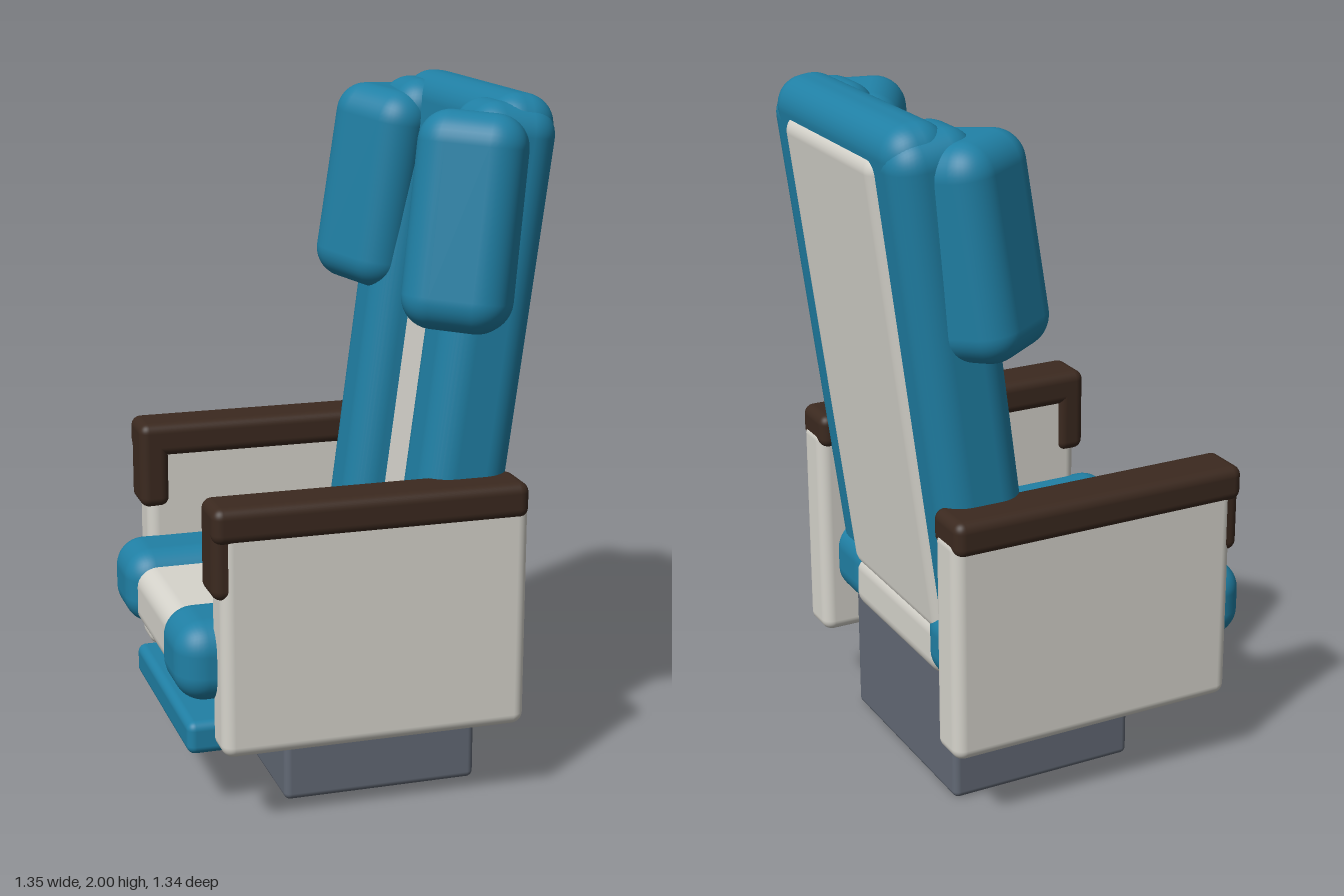
import * as THREE from 'three';
import { RoundedBoxGeometry } from 'three/addons/geometries/RoundedBoxGeometry.js';

const material = (name, color) => {
  const m = new THREE.MeshStandardMaterial({ color });
  m.name = name;
  return m;
};

// Rounded box given by its ranges along x, y and z
function pad(parent, name, mat, [x0, x1], [y0, y1], [z0, z1], radius) {
  const geo = new RoundedBoxGeometry(x1 - x0, y1 - y0, z1 - z0, 5, radius);
  const mesh = new THREE.Mesh(geo, mat);
  mesh.name = name;
  mesh.position.set((x0 + x1) / 2, (y0 + y1) / 2, (z0 + z1) / 2);
  parent.add(mesh);
  return mesh;
}

export function createModel() {
  const teal = material('teal upholstery', 0x2080a5);
  const cream = material('cream shell', 0xd6d4cc);
  const brown = material('dark brown armrest', 0x3b291f);
  const grey = material('slate grey base', 0x626975);

  const model = new THREE.Group();
  model.name = 'reclinerSeat';

  // The whole seat is turned 30 degrees towards its right
  const seat = new THREE.Group();
  seat.name = 'turnedSeat';
  seat.rotation.y = -Math.PI / 6;
  model.add(seat);

  // Range on one side of the seat, mirrored for side -1
  const side = (s, a, b) => (s > 0 ? [a, b] : [-b, -a]);

  // Base, footrest and seat cushion
  pad(seat, 'base', grey, [-0.34, 0.34], [0, 0.39], [-0.365, 0.212], 0.02);
  pad(seat, 'footrest', teal, [-0.34, 0.34], [0.175, 0.272], [0.205, 0.495], 0.025);
  pad(seat, 'seatCushion', cream, [-0.3, 0.3], [0.365, 0.557], [-0.395, 0.515], 0.06);

  // Reclined back, pivoting at its lower rear edge
  const back = new THREE.Group();
  back.name = 'backrest';
  back.position.set(0, 0.545, -0.381);
  back.rotation.x = -0.131;
  seat.add(back);
  pad(back, 'backPanel', cream, [-0.303, 0.303], [-0.05, 1.375], [-0.012, 0.15], 0.05);
  pad(back, 'topRoll', teal, [-0.415, 0.415], [1.2, 1.457], [0.004, 0.195], 0.085);

  for (const s of [1, -1]) {
    const label = s > 0 ? 'left' : 'right';

    // Side bolsters of the seat and the back
    pad(seat, label + 'SeatBolster', teal, side(s, 0.19, 0.46), [0.365, 0.597], [-0.398, 0.543], 0.085);
    pad(back, label + 'BackBolster', teal, side(s, 0.185, 0.437), [-0.1, 1.43], [0.004, 0.258], 0.085);

    // Armrest: side panel, top cap and front drop
    const arm = new THREE.Group();
    arm.name = label + 'Armrest';
    seat.add(arm);
    pad(arm, 'armPanel', cream, side(s, 0.39, 0.523), [0.23, 0.9], [-0.448, 0.438], 0.035);
    pad(arm, 'armCap', brown, side(s, 0.376, 0.532), [0.848, 0.952], [-0.445, 0.462], 0.03);
    pad(arm, 'armFrontDrop', brown, side(s, 0.376, 0.519), [0.688, 0.94], [0.37, 0.462], 0.03);

    // Headrest wing, leaning back and inwards, its faces turned diagonally
    const wing = pad(seat, label + 'HeadWing', teal, [-0.15, 0.15], [-0.299, 0.299], [-0.153, 0.153], 0.09);
    wing.position.set(s * 0.356, 1.66, -0.308);
    wing.rotation.set(-0.147, s * Math.PI / 6, 0, 'YXZ');
    wing.rotateY(s * Math.PI / 6);
  }

  return model;
}
